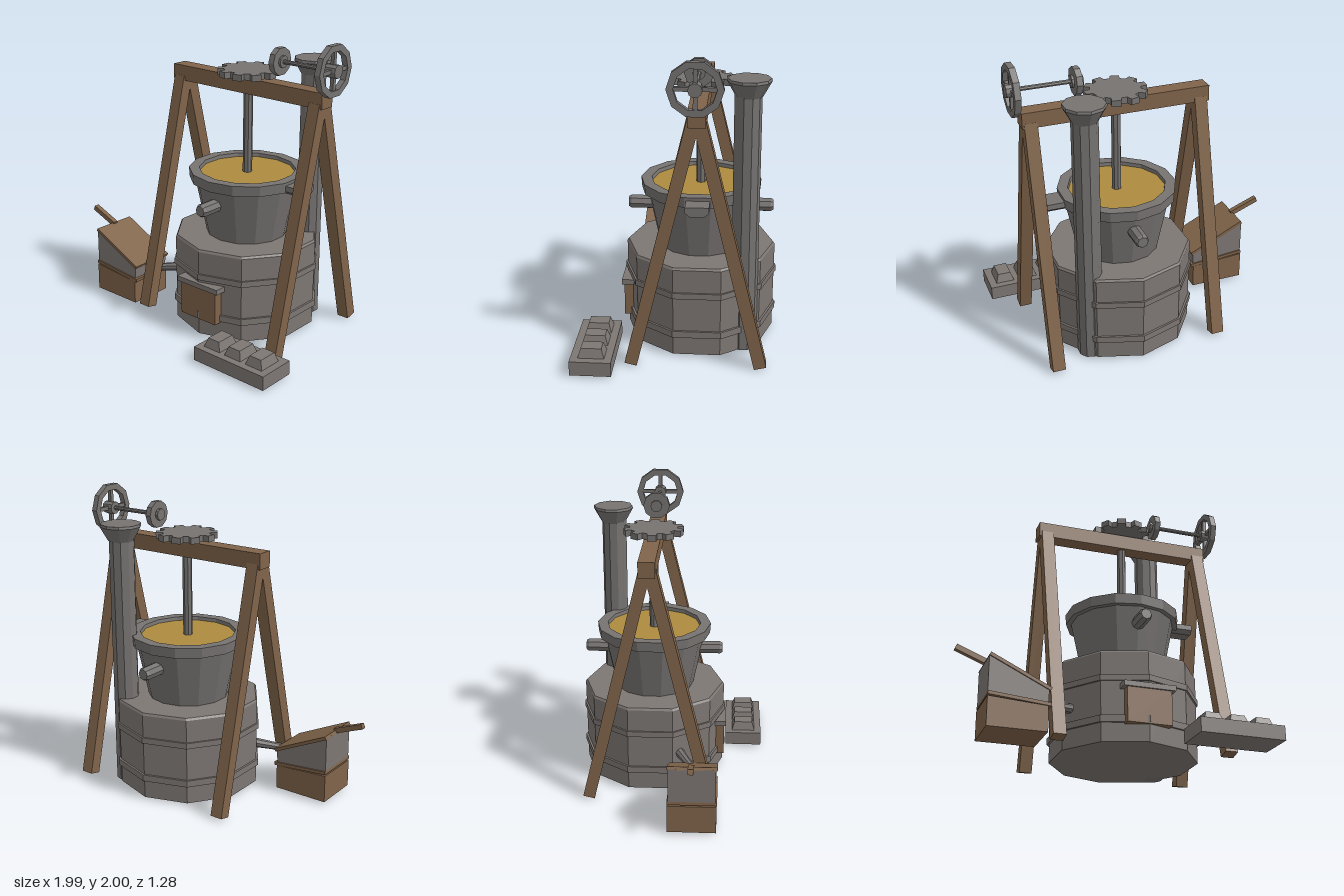
import * as THREE from 'three';

export function createModel() {
  const model = new THREE.Group();
  const mat = (name, color) => {
    const m = new THREE.MeshStandardMaterial({ color, flatShading: true });
    m.name = name;
    return m;
  };
  const stone = mat('stone grey', 0x7d7773);
  const metal = mat('iron grey', 0x767371);
  const wood = mat('wood brown', 0x80644a);
  const gold = mat('molten gold', 0xae8c40);

  const CX = 0.213, CZ = -0.14; // furnace axis
  const UP = new THREE.Vector3(0, 1, 0);

  const add = (name, geo, material, x = 0, y = 0, z = 0, parent = model) => {
    const mesh = new THREE.Mesh(geo, material);
    mesh.name = name;
    mesh.position.set(x, y, z);
    parent.add(mesh);
    return mesh;
  };
  // box given by its low and high corners
  const box = (name, material, [x0, y0, z0], [x1, y1, z1], parent) =>
    add(name, new THREE.BoxGeometry(x1 - x0, y1 - y0, z1 - z0), material,
      (x0 + x1) / 2, (y0 + y1) / 2, (z0 + z1) / 2, parent);
  // upright cylinder from y0 to y1
  const drum = (name, material, rBottom, rTop, y0, y1, sides, x = CX, z = CZ) =>
    add(name, new THREE.CylinderGeometry(rTop, rBottom, y1 - y0, sides), material, x, (y0 + y1) / 2, z);
  // lay a part built along y between two points
  const span = (name, material, a, b, makeGeo) => {
    const p = new THREE.Vector3(...a), q = new THREE.Vector3(...b);
    const d = q.clone().sub(p);
    const mesh = add(name, makeGeo(d.length()), material);
    mesh.position.copy(p).add(q).multiplyScalar(0.5);
    mesh.quaternion.setFromUnitVectors(UP, d.normalize());
    return mesh;
  };
  const rod = (name, material, a, b, r0, r1 = r0, sides = 8) =>
    span(name, material, a, b, (h) => new THREE.CylinderGeometry(r1, r0, h, sides));
  const bar = (name, material, a, b, w, d) =>
    span(name, material, a, b, (h) => new THREE.BoxGeometry(w, h, d));
  const extrude = (shape, depth) => {
    const geo = new THREE.ExtrudeGeometry(shape, { depth, bevelEnabled: false });
    return geo.translate(0, 0, -depth / 2);
  };
  const polygon = (r, n) => Array.from({ length: n }, (_, i) => {
    const a = (i / n) * Math.PI * 2;
    return new THREE.Vector2(Math.cos(a) * r, Math.sin(a) * r);
  });

  // furnace with two hoops
  drum('furnace', stone, 0.49, 0.495, 0.015, 0.61, 10);
  drum('furnaceTop', stone, 0.495, 0.485, 0.61, 0.625, 10);
  drum('lowerHoop', stone, 0.506, 0.506, 0.14, 0.185, 10);
  drum('upperHoop', stone, 0.506, 0.506, 0.415, 0.455, 10);

  // furnace door
  box('door', wood, [0.065, 0.13, 0.25], [0.365, 0.36, 0.362]);
  box('doorLintel', stone, [0.04, 0.36, 0.25], [0.39, 0.395, 0.375]);

  // chimney and its funnel
  drum('chimney', metal, 0.085, 0.085, 0.015, 1.72, 10, 0.52, -0.44);
  drum('chimneyFunnel', metal, 0.085, 0.138, 1.71, 1.805, 10, 0.52, -0.445);
  drum('chimneyRim', metal, 0.138, 0.134, 1.805, 1.822, 10, 0.52, -0.445);

  // crucible: outer wall, rim, inner wall
  const profile = [[0, 0.62], [0.275, 0.62], [0.355, 1.0], [0.39, 1.0], [0.395, 1.07], [0.325, 1.07], [0.315, 1.0]]
    .map(([r, y]) => new THREE.Vector2(r, y));
  add('crucible', new THREE.LatheGeometry(profile, 14), metal, CX, 0, CZ);
  drum('moltenMetal', gold, 0.321, 0.321, 1.01, 1.045, 14);
  for (const s of [1, -1]) {
    rod('trunnion', metal, [CX, 0.89, CZ + s * 0.28], [CX, 0.89, CZ + s * 0.46], 0.046);
    rod('trunnionCap', metal, [CX, 0.89, CZ + s * 0.46], [CX, 0.89, CZ + s * 0.478], 0.046, 0.036);
  }
  const lip = new THREE.Shape([[-0.045, 0.985], [0.045, 0.985], [0.075, 1.01], [0.075, 1.047], [-0.075, 1.047], [-0.075, 1.01]]
    .map(([x, y]) => new THREE.Vector2(x, y)));
  add('spout', extrude(lip, 0.16).rotateY(Math.PI / 2), metal, 0.63, 0, CZ);

  // timber frame
  box('beam', wood, [-0.41, 1.595, -0.198], [0.84, 1.7, -0.088]);
  for (const x of [-0.352, 0.785]) {
    for (const s of [1, -1]) {
      bar('frameLeg', wood, [x, 1.62, CZ + s * 0.02], [x, 0.012, CZ + s * 0.412], 0.085, 0.08);
    }
  }

  // stirring shaft and toothed gear
  drum('stirringShaft', metal, 0.032, 0.032, 0.9, 1.72, 8);
  const gearPoints = [];
  for (let i = 0; i < 10; i++) {
    for (const [off, r] of [[-0.2, 0.163], [-0.15, 0.205], [0.15, 0.205], [0.2, 0.163]]) {
      const a = (i / 10) * Math.PI * 2 + off;
      gearPoints.push(new THREE.Vector2(Math.cos(a) * r, Math.sin(a) * r));
    }
  }
  add('gear', extrude(new THREE.Shape(gearPoints), 0.042).rotateX(-Math.PI / 2), metal, CX, 1.733, CZ);

  // crank axle, pinion and handwheel
  const AY = 1.84, AZ = -0.137;
  const axial = (name, x0, x1, r, sides = 10) => rod(name, metal, [x0, AY, AZ], [x1, AY, AZ], r, r, sides);
  axial('axle', 0.44, 0.9, 0.015, 8);
  axial('pinion', 0.45, 0.49, 0.092);
  axial('pinionHub', 0.43, 0.505, 0.04);
  axial('wheelHub', 0.84, 0.92, 0.043);
  const rim = new THREE.Shape(polygon(0.169, 10));
  rim.holes.push(new THREE.Path(polygon(0.127, 10)));
  add('wheelRim', extrude(rim, 0.04).rotateY(Math.PI / 2), metal, 0.88, AY, AZ);
  add('wheelSpokeVertical', new THREE.BoxGeometry(0.025, 0.27, 0.026), metal, 0.88, AY, AZ);
  add('wheelSpokeAcross', new THREE.BoxGeometry(0.025, 0.026, 0.27), metal, 0.88, AY, AZ);

  // bellows: stand, boards, leather, handle and nozzle
  const slab = (name, material, pts, z0, z1) => {
    const shape = new THREE.Shape(pts.map(([x, y]) => new THREE.Vector2(x, y)));
    return add(name, extrude(shape, z1 - z0), material, 0, 0, (z0 + z1) / 2);
  };
  slab('bellowsStand', wood, [[-0.81, 0.02], [-0.43, 0.02], [-0.43, 0.185], [-0.81, 0.21]], 0.005, 0.322);
  slab('bellowsBottomBoard', wood, [[-0.81, 0.22], [-0.412, 0.185], [-0.41, 0.207], [-0.808, 0.242]], 0.003, 0.325);
  slab('bellowsLeather', stone, [[-0.808, 0.235], [-0.43, 0.2], [-0.425, 0.3], [-0.808, 0.478]], 0.012, 0.316);
  slab('bellowsTopBoard', wood, [[-0.81, 0.472], [-0.418, 0.285], [-0.408, 0.305], [-0.8, 0.492]], 0.003, 0.325);
  bar('bellowsHandle', wood, [-0.993, 0.563], [-0.79, 0.483], 0.035, 0.036)
    .position.z = 0.16;
  rod('bellowsNozzle', metal, [-0.45, 0.245, 0.185], [-0.18, 0.285, 0.04], 0.02, 0.035);

  // casting tray with three ingots
  box('ingotTray', stone, [0.43, 0.015, 0.375], [0.995, 0.11, 0.638]);
  for (const x of [0.54, 0.71, 0.88]) {
    const ingot = new THREE.BoxGeometry(0.13, 0.06, 0.168);
    const p = ingot.attributes.position;
    for (let i = 0; i < p.count; i++) {
      if (p.getY(i) > 0) p.setXYZ(i, p.getX(i) * 0.7, p.getY(i), p.getZ(i) * 0.78);
    }
    ingot.computeVertexNormals();
    add('ingot', ingot, stone, x, 0.14, 0.507);
  }

  return model;
}
